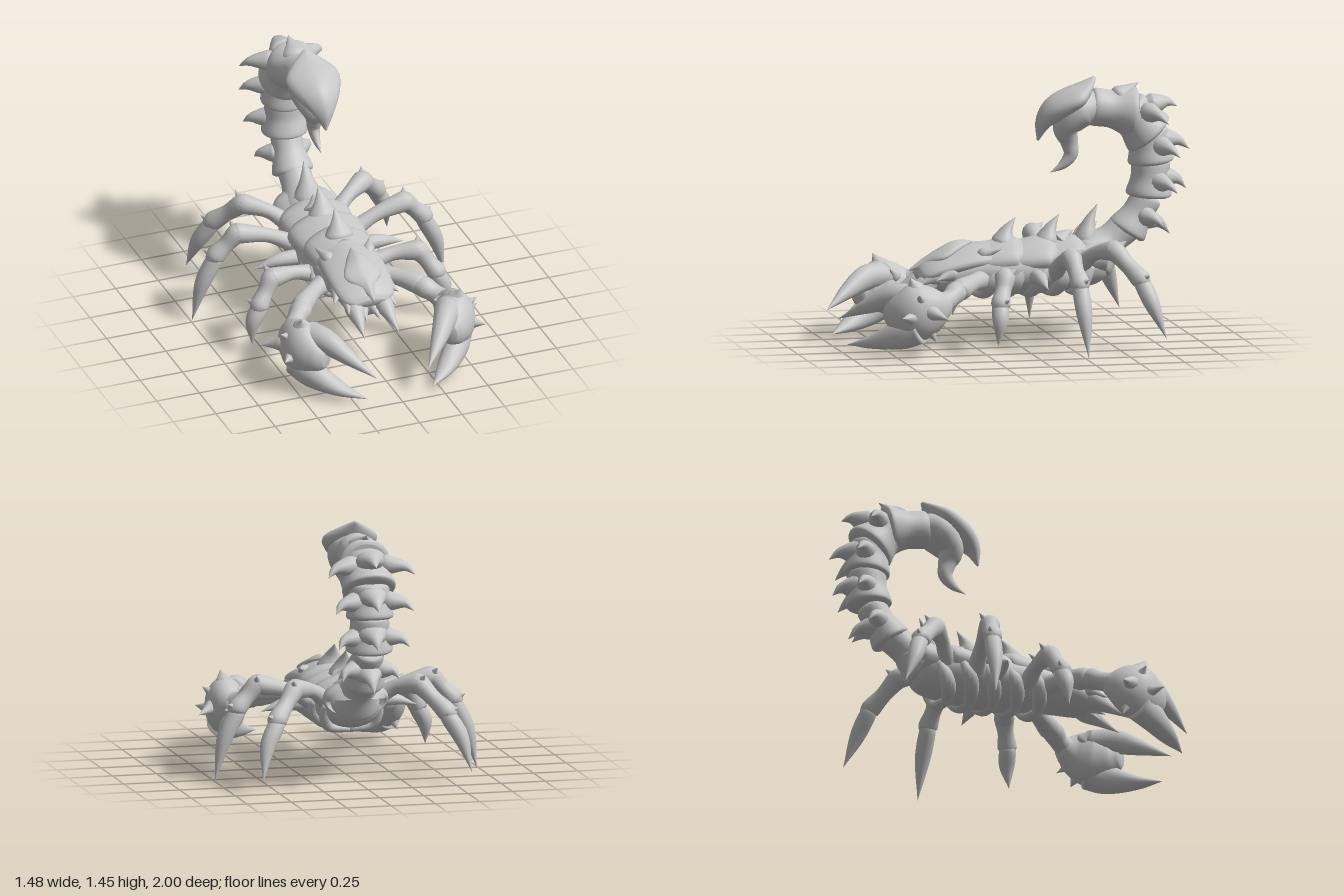
import * as THREE from 'three';

const shell = new THREE.MeshStandardMaterial({ color: 0xc6c6c6 });
shell.name = 'grey shell';
const V = (a) => new THREE.Vector3(a[0], a[1], a[2]);
const X = [1, 0, 0], Y = [0, 1, 0], Z = [0, 0, 1];

// Smooth closed tube through stations [x, y, z, width, height]; width lies along "side".
// "ridge" lifts the middle of the upper face into a keel.
function loft(name, stations, side = X, ridge = 0, segs = 20, per = 5) {
  const path = new THREE.CatmullRomCurve3(stations.map(V), false, 'catmullrom', 0.5);
  const size = new THREE.CatmullRomCurve3(
    stations.map((s) => new THREE.Vector3(s[3], s[4] ?? s[3], 0)), false, 'catmullrom', 0.5);
  const rows = (stations.length - 1) * per, pos = [], idx = [];
  for (let i = 0; i <= rows; i++) {
    const u = i / rows, c = path.getPoint(u), r = size.getPoint(u);
    const t = path.getTangent(u), n = t.clone().cross(V(side)).normalize();
    const w = n.clone().cross(t).normalize();
    const up = n.y >= 0 ? 1 : -1;
    for (let j = 0; j < segs; j++) {
      const a = (j / segs) * Math.PI * 2, s = Math.sin(a);
      const keel = 1 + ridge * Math.max(0, s * up) ** 8;
      const p = c.clone().addScaledVector(w, Math.cos(a) * Math.max(r.x, 0.001))
        .addScaledVector(n, s * Math.max(r.y, 0.001) * keel);
      pos.push(p.x, p.y, p.z);
    }
  }
  for (let i = 0; i < rows; i++) for (let j = 0; j < segs; j++) {
    const a = i * segs + j, b = i * segs + (j + 1) % segs;
    idx.push(a, b, b + segs, a, b + segs, a + segs);
  }
  // end caps
  const first = pos.length / 3, last = first + 1, p0 = stations[0], p1 = stations.at(-1);
  pos.push(p0[0], p0[1], p0[2], p1[0], p1[1], p1[2]);
  for (let j = 0; j < segs; j++) {
    const k = (j + 1) % segs;
    idx.push(first, k, j, last, rows * segs + j, rows * segs + k);
  }
  const g = new THREE.BufferGeometry();
  g.setAttribute('position', new THREE.Float32BufferAttribute(pos, 3));
  g.setIndex(idx);
  g.computeVertexNormals();
  const m = new THREE.Mesh(g, shell);
  m.name = name;
  return m;
}

// Curved thorn with a rounded root below its base; "bend" shifts its middle.
function thorn(name, base, tip, r, bend = [0, 0, 0], flat = 1) {
  const d = base.map((b, i) => Math.abs(tip[i] - b));
  const side = [X, Y, Z][d.indexOf(Math.min(...d))];
  const at = (k, lift = 0) => base.map((b, i) => b + (tip[i] - b) * k + bend[i] * lift);
  return loft(name, [[...at(-0.35), r * 0.6 * flat, r * 0.6], [...base, r * flat, r],
    [...at(0.5, 1), r * 0.5 * flat, r * 0.5], [...tip, 0, 0]], side, 0, 12, 4);
}

export function createModel() {
  const root = new THREE.Group();
  root.name = 'scorpion';
  const part = (name, ...meshes) => {
    const g = new THREE.Group();
    g.name = name;
    g.add(...meshes);
    root.add(g);
  };

  // Trunk
  part('body',
    loft('trunk', [
      [0, 0.44, -0.54, 0.06, 0.06], [0, 0.43, -0.47, 0.145, 0.125], [0, 0.41, -0.3, 0.185, 0.14],
      [0, 0.4, -0.05, 0.205, 0.145], [0, 0.4, 0.2, 0.18, 0.12], [0, 0.365, 0.4, 0.145, 0.085],
      [0, 0.335, 0.5, 0.1, 0.065]], X, 0, 28));

  // Overlapping back plates, each flaring toward the rear with a hooked dorsal thorn
  [[0.2, 0.0, 0.195, 0.68, -0.025], [0.03, -0.18, 0.215, 0.69, -0.27], [-0.15, -0.34, 0.205, 0.6, -0.35],
    [-0.3, -0.5, 0.18, 0.74, -0.485]].forEach(([z0, z1, w, ty, tz], i) => {
    const zm = (z0 + z1) / 2;
    part('backPlate' + (i + 1),
      loft('plate', [[0, 0.44, z0, w * 0.82, 0.08], [0, 0.45, zm, w * 0.96, 0.095],
        [0, 0.46, z1, w, 0.1], [0, 0.455, z1 - 0.015, w * 0.8, 0.075]], X, 0.15, 28),
      thorn('dorsalThorn', [0, 0.545, tz + 0.07], [0, ty, tz], 0.065, [0, 0, 0.012], 1.3));
  });

  // Head shield and brow plate
  part('head',
    loft('headShield', [[0, 0.465, 0.1, 0.165, 0.075], [0, 0.455, 0.24, 0.175, 0.07], [0, 0.42, 0.4, 0.17, 0.058],
      [0, 0.385, 0.49, 0.145, 0.045], [0, 0.37, 0.53, 0.09, 0.02]], X, 0.25, 28),
    loft('browPlate', [[0, 0.555, 0.22, 0.005, 0.005], [0, 0.525, 0.31, 0.065, 0.028],
      [0, 0.48, 0.4, 0.105, 0.028], [0, 0.445, 0.48, 0.04, 0.022], [0, 0.405, 0.57, 0.004, 0.005]], X, 0.4));

  // Tail segments: [y0, z0, y1, z1, wide radius, narrow radius]
  [[0.44, -0.44, 0.63, -0.67, 0.145, 0.09], [0.575, -0.64, 0.78, -0.77, 0.115, 0.085],
    [0.77, -0.77, 0.98, -0.785, 0.13, 0.105], [0.955, -0.785, 1.15, -0.765, 0.13, 0.11],
    [1.11, -0.78, 1.27, -0.64, 0.15, 0.12], [1.24, -0.69, 1.28, -0.44, 0.145, 0.105],
  ].forEach(([y0, z0, y1, z1, a, b], i) => {
    const k = (t) => [0, y0 + (y1 - y0) * t, z0 + (z1 - z0) * t];
    part('tailSegment' + (i + 1),
      loft('ring', [[...k(0), a * 0.85, a * 0.8], [...k(0.1), a, a * 0.97], [...k(0.5), b * 1.06, b],
        [...k(0.9), b, b], [...k(1), b * 0.8, b * 0.8]], X, 0, 24));
  });

  // Tail thorns: [dorsal base y, z, dorsal tip y, z, side tip x, y, z, side base x]
  [[0.65, -0.755, 0.56, -0.89, 0.16, 0.62, -0.82, 0.07], [0.88, -0.855, 0.81, -0.98, 0.2, 0.81, -0.89, 0.085],
    [1.09, -0.85, 1.025, -1.0, 0.22, 1.01, -0.9, 0.095], [1.28, -0.79, 1.265, -0.93, 0.245, 1.2, -0.83, 0.105],
  ].forEach(([by, bz, ty, tz, sx, sy, sz, bx], i) => {
    part('tailThorns' + (i + 1),
      thorn('dorsalThorn', [0, by, bz], [0, ty, tz], 0.06, [0, 0.018, -0.01], 1.35),
      ...[1, -1].map((s) => thorn('sideThorn', [s * bx, sy + 0.05, sz + 0.08], [s * sx, sy, sz], 0.055,
        [s * 0.02, 0.015, 0])));
  });
  part('tailTopThorn', thorn('thorn', [0, 1.335, -0.61], [0, 1.405, -0.715], 0.055, [0, 0, 0], 1.4));

  // Stinger with its hood
  part('stinger',
    loft('bulb', [[0, 1.29, -0.48, 0.09, 0.08], [0, 1.26, -0.38, 0.13, 0.1], [0, 1.17, -0.31, 0.1, 0.075],
      [0, 1.09, -0.325, 0.05, 0.05], [0, 1.02, -0.335, 0.035, 0.04], [0, 0.96, -0.29, 0.02, 0.025],
      [0, 0.92, -0.22, 0, 0]]),
    loft('hood', [[0, 1.44, -0.47, 0.01, 0.008], [0, 1.375, -0.41, 0.11, 0.04], [0, 1.325, -0.35, 0.155, 0.06],
      [0, 1.265, -0.25, 0.12, 0.065], [0, 1.2, -0.185, 0.065, 0.042], [0, 1.1, -0.15, 0.004, 0.005]], X, 0.25));

  // Paired parts
  for (const s of [1, -1]) {
    const label = s > 0 ? 'left' : 'right';
    const m = (pts) => pts.map(([x, ...r]) => [s * x, ...r]);
    const spike = (name, a, b, r) => thorn(name, ...m([a, b]), r);

    part(label + 'HeadThorns',
      spike('mandible', [0.085, 0.34, 0.49], [0.1, 0.25, 0.69], 0.055),
      spike('cheekThorn', [0.135, 0.4, 0.37], [0.19, 0.37, 0.46], 0.045),
      spike('browThorn', [0.11, 0.38, 0.45], [0.14, 0.34, 0.55], 0.045),
      spike('templeThorn', [0.12, 0.5, 0.18], [0.165, 0.53, 0.09], 0.035),
      spike('innerFang', [0.03, 0.32, 0.48], [0.04, 0.28, 0.57], 0.03));

    // Belly ribs and the long side thorn
    for (let i = 0; i < 5; i++) {
      const z = 0.14 - i * 0.13, x = i === 4 ? 0.15 : 0.18;
      part(label + 'BellyRib', loft('rib', m([[x, 0.42, z - 0.04, 0.02, 0.02], [x, 0.35, z, 0.04, 0.03],
        [0.115, 0.285, z + 0.03, 0.04, 0.03], [0, 0.265, z + 0.05, 0.03, 0.02]]), Z, 0, 12));
    }
    part(label + 'SideThorn', loft('thorn', m([[0.13, 0.37, -0.1, 0.045], [0.3, 0.375, -0.1, 0.037],
      [0.44, 0.34, -0.11, 0]]), Z, 0, 12));

    // Legs: hip, mid-thigh, knee, ankle, toe
    [['front', [0.14, 0.36, 0.09], [0.29, 0.4, 0.1], [0.43, 0.41, 0.13], [0.52, 0.28, 0.175], [0.57, 0.06, 0.2]],
      ['middle', [0.14, 0.38, -0.21], [0.31, 0.47, -0.22], [0.49, 0.515, -0.23], [0.61, 0.39, -0.25], [0.74, 0, -0.27]],
      ['rear', [0.12, 0.42, -0.36], [0.23, 0.5, -0.42], [0.35, 0.53, -0.5], [0.48, 0.385, -0.62], [0.59, 0.07, -0.74]],
    ].forEach(([name, hip, thigh, knee, ankle, toe]) => {
      const mid = (a, b, t) => a.map((v, i) => v + (b[i] - v) * t);
      const over = mid(thigh, knee, 1.15), shin = mid(knee, ankle, 0.5), foot = mid(ankle, toe, 0.45);
      foot[0] += 0.02;
      part(label + name[0].toUpperCase() + name.slice(1) + 'Leg',
        loft('thigh', m([[...hip, 0.055], [...thigh, 0.04], [...knee, 0.057], [...over, 0.028]]), Z, 0, 14),
        loft('shin', m([[...mid(knee, thigh, 0.2), 0.035], [...knee, 0.056], [...shin, 0.045],
          [...ankle, 0.054], [...mid(ankle, toe, 0.08), 0.035]]), Z, 0, 14),
        loft('foot', m([[...mid(ankle, shin, 0.2), 0.035], [...mid(ankle, toe, 0.1), 0.047],
          [...foot, 0.042], [...toe, 0]]), Z, 0, 14),
        spike('kneeThorn', knee, [knee[0] + 0.02, knee[1] + 0.055, knee[2] - 0.065], 0.045),
        spike('ankleThorn', ankle, [ankle[0] + 0.06, ankle[1] + 0.03, ankle[2] - 0.035], 0.045));
    });

    // Arm and pincer
    part(label + 'Arm',
      loft('upperArm', m([[0.12, 0.36, 0.18, 0.06], [0.24, 0.36, 0.27, 0.048], [0.34, 0.34, 0.36, 0.06],
        [0.37, 0.33, 0.385, 0.035]]), Y, 0, 16),
      loft('forearm', m([[0.31, 0.345, 0.34, 0.04], [0.36, 0.33, 0.39, 0.06], [0.41, 0.3, 0.44, 0.052],
        [0.46, 0.27, 0.52, 0.07]]), Y, 0, 16));
    part(label + 'Pincer',
      loft('palm', m([[0.43, 0.28, 0.45, 0.05, 0.05], [0.455, 0.26, 0.54, 0.13, 0.095], [0.445, 0.24, 0.64, 0.16, 0.115],
        [0.4, 0.23, 0.73, 0.11, 0.085], [0.36, 0.23, 0.78, 0.05, 0.04]]), Y, 0, 20),
      loft('upperFinger', m([[0.42, 0.32, 0.62, 0.07, 0.08], [0.35, 0.315, 0.74, 0.07, 0.065],
        [0.26, 0.255, 0.865, 0.042, 0.042], [0.15, 0.175, 1, 0, 0]]), Y, 0, 16),
      loft('lowerFinger', m([[0.47, 0.16, 0.62, 0.09, 0.085], [0.42, 0.115, 0.72, 0.082, 0.07],
        [0.31, 0.065, 0.845, 0.04, 0.05], [0.19, 0.035, 0.96, 0, 0]]), Y, 0, 16),
      spike('outerThorn', [0.53, 0.25, 0.57], [0.635, 0.22, 0.49], 0.045),
      spike('sideThorn', [0.525, 0.22, 0.67], [0.59, 0.23, 0.74], 0.04),
      spike('topThorn', [0.455, 0.375, 0.64], [0.465, 0.435, 0.67], 0.05),
      spike('upperSideThorn', [0.515, 0.31, 0.62], [0.575, 0.35, 0.64], 0.04),
      spike('heelThorn', [0.47, 0.16, 0.57], [0.5, 0.08, 0.53], 0.05),
      spike('innerThorn', [0.385, 0.32, 0.57], [0.34, 0.36, 0.6], 0.04));
  }
  return root;
}
